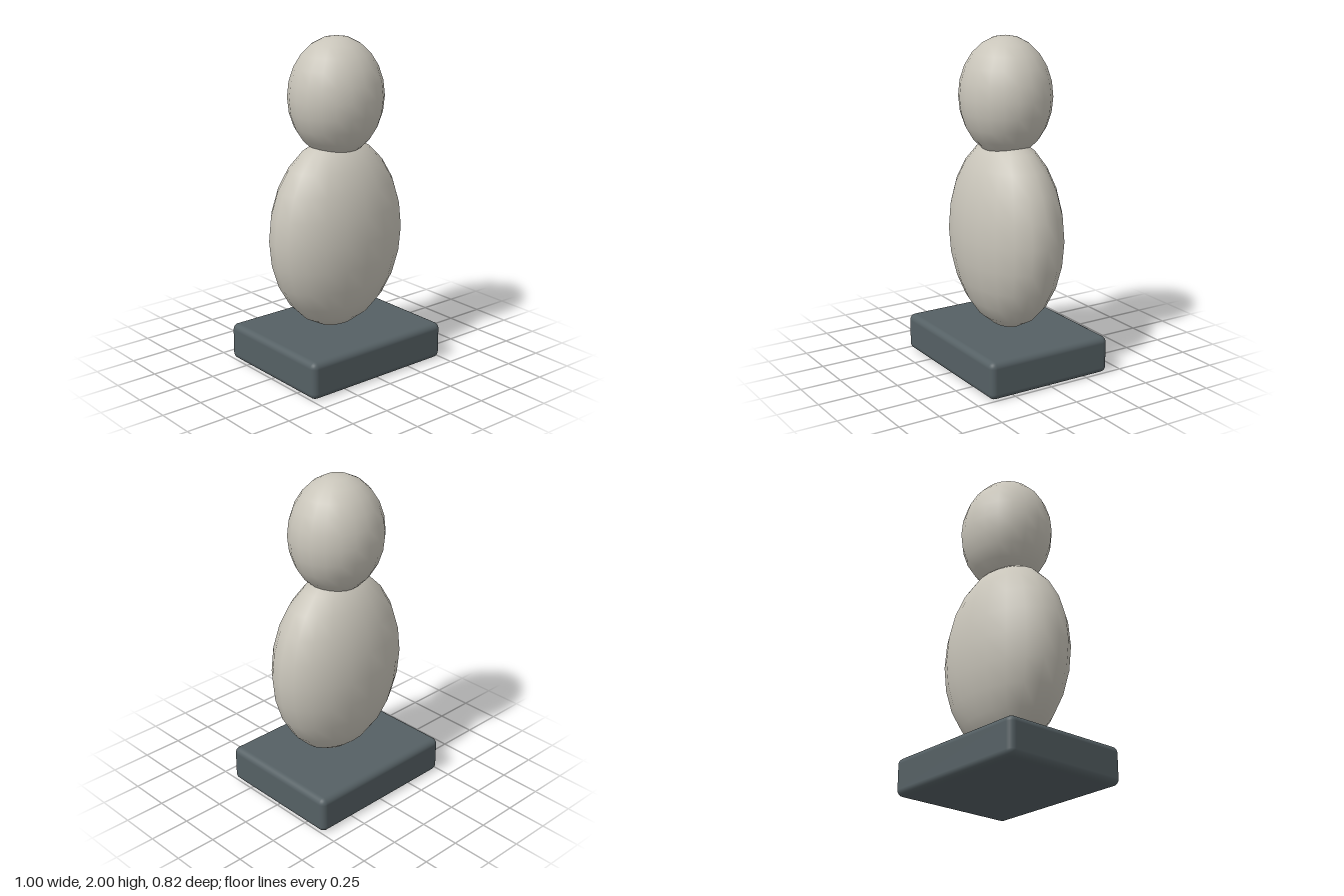
import * as THREE from 'three';
import { RoundedBoxGeometry } from 'three/addons/geometries/RoundedBoxGeometry.js';

export function createModel() {
  const stone = new THREE.MeshStandardMaterial({ name: 'pale stone', color: 0xc9c5ba });
  const slate = new THREE.MeshStandardMaterial({ name: 'dark slate', color: 0x556064 });
  const model = new THREE.Group();
  model.name = 'figurine';

  // Stretched sphere: y is its centre, the radii run along x, y and z
  function addEllipsoid(name, y, rx, ry, rz) {
    const geometry = new THREE.SphereGeometry(1, 20, 12).scale(rx, ry, rz);
    const mesh = new THREE.Mesh(geometry, stone);
    mesh.name = name;
    mesh.position.y = y;
    model.add(mesh);
  }

  // Rounded plinth
  const plinth = new THREE.Mesh(new RoundedBoxGeometry(1, 0.228, 0.818, 3, 0.038), slate);
  plinth.name = 'plinth';
  plinth.position.y = 0.114;
  model.add(plinth);

  // Flattened body with the head sunk into its top
  addEllipsoid('body', 0.82, 0.455, 0.588, 0.294);
  addEllipsoid('head', 1.645, 0.294, 0.355, 0.271);

  return model;
}
